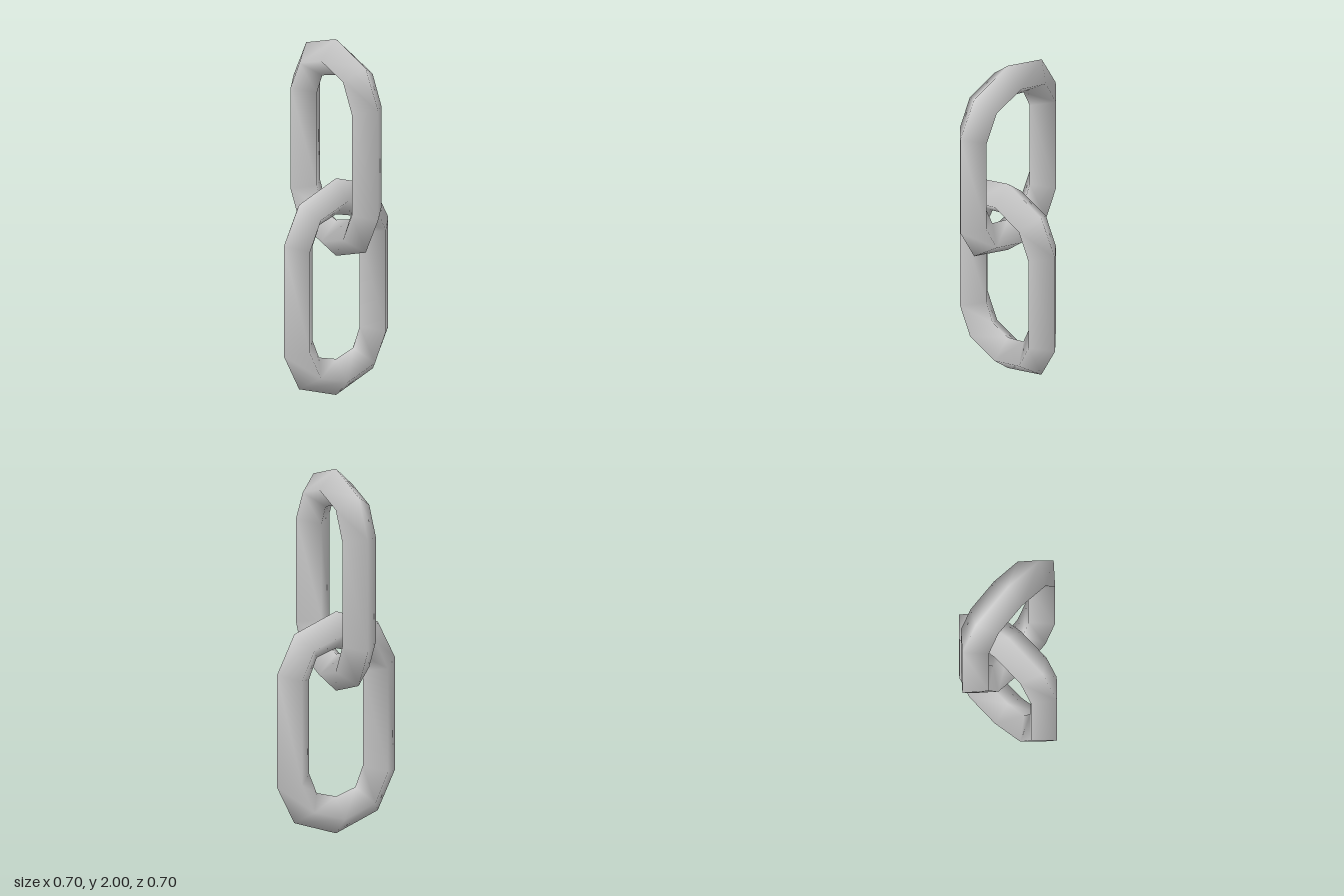
import * as THREE from 'three';

const HALF_HEIGHT = 0.608;
const HALF_WIDTH = 0.1; // half thickness of the bar, across the link

// One quarter of a link: [outer x, outer y, inner x, inner y]
const QUARTER = [
  [0.352, 0.308, 0.16, 0.26],
  [0.249, 0.517, 0.115, 0.371],
  [0, HALF_HEIGHT, 0, 0.406],
];

// Closed link with a four-sided bar and smooth normals
function linkGeometry() {
  const flip = (list, sx, sy) => list.map(([a, b, c, d]) => [a * sx, b * sy, c * sx, d * sy]);
  const upper = [...QUARTER, ...flip(QUARTER.slice(0, 2), -1, 1).reverse()];
  const stations = [...upper, ...flip(upper, -1, -1)];

  const positions = [];
  const index = [];
  const n = stations.length;
  stations.forEach(([ox, oy, ix, iy], i) => {
    const mx = (ox + ix) / 2;
    const my = (oy + iy) / 2;
    positions.push(ox, oy, 0, mx, my, HALF_WIDTH, ix, iy, 0, mx, my, -HALF_WIDTH);
    for (let j = 0; j < 4; j++) {
      const k = (j + 1) % 4;
      const next = ((i + 1) % n) * 4;
      const a = i * 4 + j, b = next + j, c = next + k, d = i * 4 + k;
      index.push(a, b, c, a, c, d);
    }
  });

  const geometry = new THREE.BufferGeometry();
  geometry.setAttribute('position', new THREE.Float32BufferAttribute(positions, 3));
  geometry.setIndex(index);
  geometry.computeVertexNormals();
  return geometry;
}

export function createModel() {
  const group = new THREE.Group();
  group.name = 'chain';
  const geometry = linkGeometry();
  const material = new THREE.MeshStandardMaterial({ color: 0xcccccc });

  // Lower link faces the front, upper link is turned a quarter
  const lowerLink = new THREE.Mesh(geometry, material);
  lowerLink.name = 'lowerLink';
  lowerLink.position.y = HALF_HEIGHT + 0.003;

  const upperLink = new THREE.Mesh(geometry, material);
  upperLink.name = 'upperLink';
  upperLink.position.y = 2 - HALF_HEIGHT;
  upperLink.rotation.y = Math.PI / 2;

  group.add(lowerLink, upperLink);
  return group;
}
